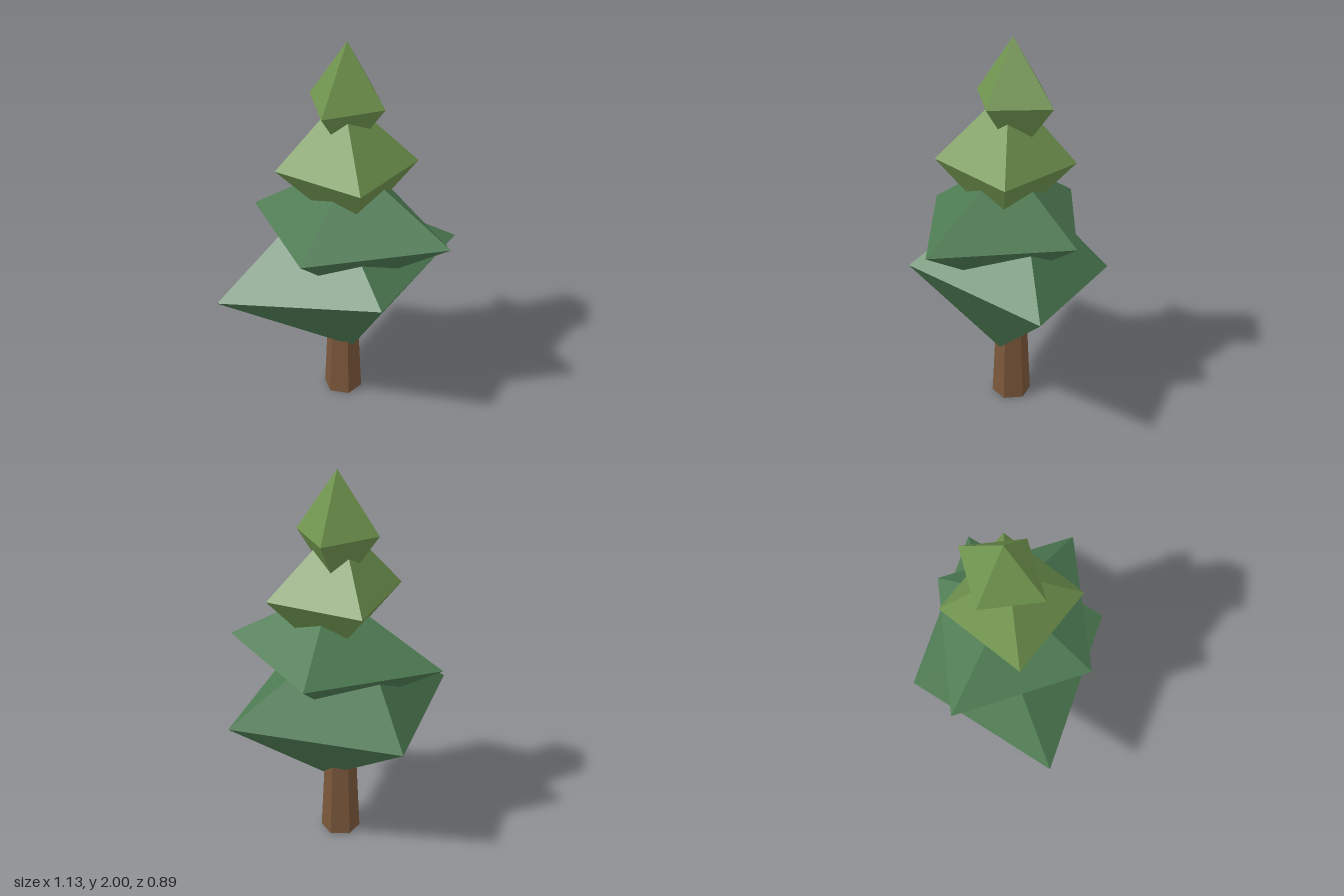
import * as THREE from 'three';

const material = (name, color) => {
  const m = new THREE.MeshStandardMaterial({ color });
  m.name = name;
  return m;
};

// Faceted eight-sided crown: four corners (counterclockwise from above), a tip and a base point
function crown(name, mat, corners, tip, base) {
  const points = [];
  corners.forEach((a, i) => {
    const b = corners[(i + 1) % corners.length];
    points.push(...a, ...b, ...tip, ...b, ...a, ...base);
  });
  const geometry = new THREE.BufferGeometry();
  geometry.setAttribute('position', new THREE.Float32BufferAttribute(points, 3));
  geometry.computeVertexNormals();
  const mesh = new THREE.Mesh(geometry, mat);
  mesh.name = name;
  return mesh;
}

export function createModel() {
  const tree = new THREE.Group();
  tree.name = 'tree';

  const bark = material('brown bark', 0x7a573b);
  const dark = material('dark green foliage', 0x4e7b53);
  const light = material('light green foliage', 0x71954f);
  bark.flatShading = dark.flatShading = light.flatShading = true;

  // Tapered six-sided trunk, reaching into the lowest crown
  const trunk = new THREE.Mesh(new THREE.CylinderGeometry(0.077, 0.103, 0.55, 6), bark);
  trunk.name = 'trunk';
  trunk.rotation.y = Math.PI / 2;
  trunk.position.set(-0.012, 0.275, -0.03);
  tree.add(trunk);

  // Foliage, from the bottom up, each tier slightly turned and tilted
  tree.add(
    crown('bottomFoliage', dark,
      [[-0.57, 0.715, 0.37], [0.28, 0.825, 0.413], [0.522, 0.81, -0.405], [-0.325, 0.7, -0.448]],
      [-0.1, 1.235, -0.04], [0.05, 0.295, 0.01]),
    crown('lowerFoliage', dark,
      [[-0.52, 1.015, -0.16], [-0.11, 1.04, 0.445], [0.565, 1.06, 0.16], [0.155, 1.035, -0.445]],
      [0.035, 1.395, -0.025], [0.01, 0.68, 0.025]),
    crown('upperFoliage', light,
      [[-0.315, 1.37, 0.13], [0.15, 1.38, 0.313], [0.345, 1.37, -0.148], [-0.12, 1.36, -0.33]],
      [-0.01, 1.745, -0.015], [0.04, 0.995, -0.005]),
    crown('topFoliage', light,
      [[-0.197, 1.695, -0.11], [-0.067, 1.69, 0.18], [0.202, 1.693, 0.01], [0.075, 1.698, -0.278]],
      [0.005, 2, -0.042], [0, 1.39, -0.058]),
  );
  return tree;
}
